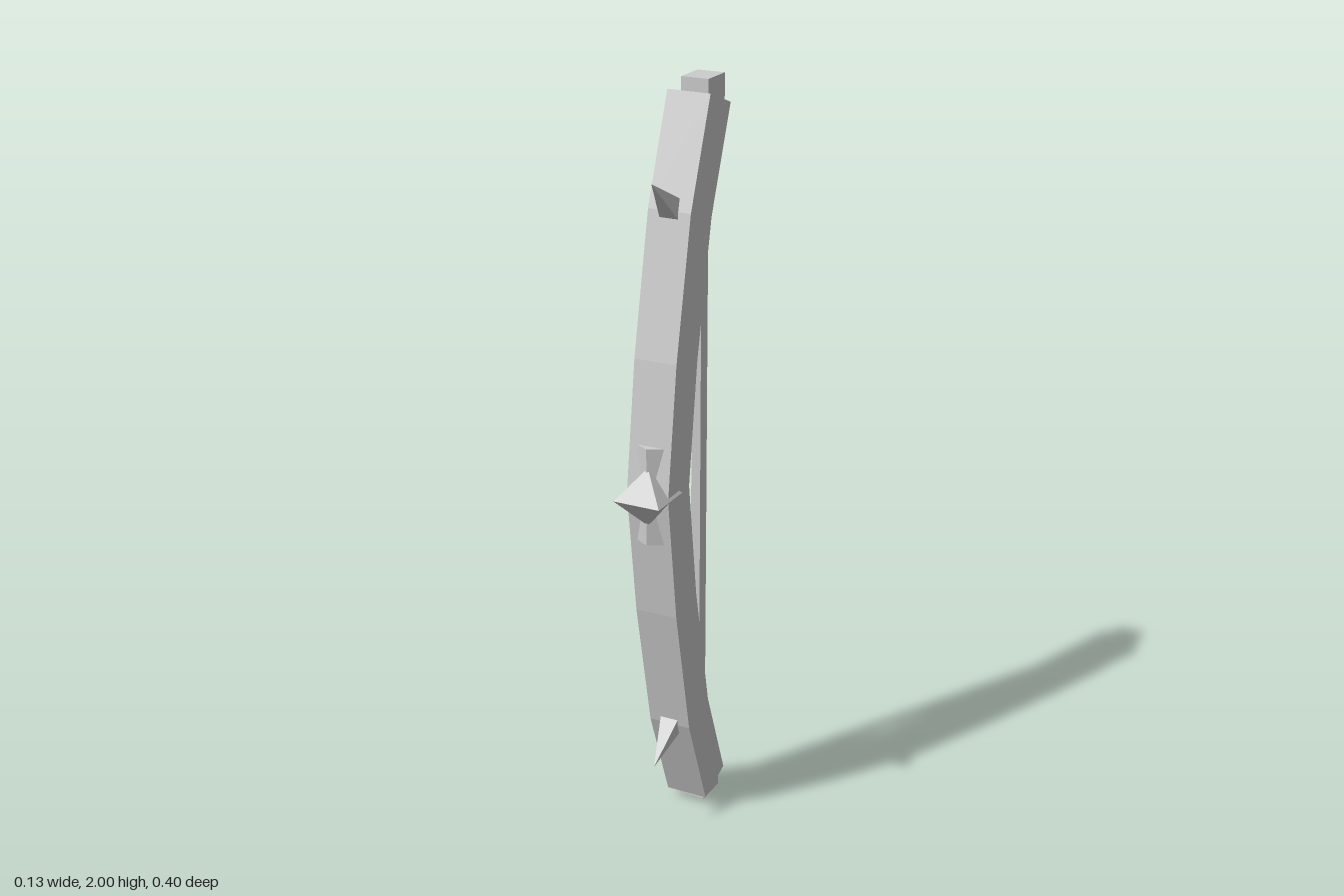
import * as THREE from 'three';

export function createModel() {
  const group = new THREE.Group();
  group.name = 'bow';
  const grey = new THREE.MeshStandardMaterial({ color: 0xcccccc, flatShading: true });
  grey.name = 'pale grey';

  const add = (name, geometry, x, y, z) => {
    const mesh = new THREE.Mesh(geometry, grey);
    mesh.name = name;
    mesh.position.set(x, y, z);
    group.add(mesh);
    return mesh;
  };

  // Curved stave: half profile as [z, height above the middle], mirrored downwards
  const front = [[0.14, 0], [0.095, 0.343], [0.02, 0.703], [-0.082, 0.973]];
  const back = [[0.025, 0], [-0.018, 0.32], [-0.092, 0.668], [-0.193, 0.932]];
  const mirrorDown = (side) => [
    ...side.slice(1).reverse().map(([z, h]) => [z, -h]),
    ...side,
  ];
  const outline = [...mirrorDown(front), ...mirrorDown(back).reverse()];
  const shape = new THREE.Shape(outline.map(([z, h]) => new THREE.Vector2(z, h)));
  const width = 0.116;
  const stave = new THREE.ExtrudeGeometry(shape, { depth: width, bevelEnabled: false });
  stave.translate(0, 0, -width / 2);
  stave.rotateY(-Math.PI / 2);
  add('stave', stave, 0, 1, 0);

  // Bowstring
  add('string', new THREE.BoxGeometry(0.026, 1.84, 0.037), 0, 1, -0.147);

  // Six-sided grip core, its edges just breaking through the stave
  add('gripCore', new THREE.CylinderGeometry(0.061, 0.061, 0.26, 6), 0, 1, 0.084);

  // Square pyramid with its sides square to the axes
  const pyramid = (halfWidth, height) =>
    new THREE.ConeGeometry(halfWidth * Math.SQRT2, height, 4).rotateY(Math.PI / 4);

  for (const s of [1, -1]) {
    const end = s > 0 ? 'upper' : 'lower';

    // Blocks holding the string ends
    add(end + 'TipBlock', new THREE.BoxGeometry(0.074, 0.09, 0.09), 0, 1 + s * 0.955, -0.158);

    // Half of the faceted centre stud
    const stud = add(end + 'CentreStud', pyramid(0.0635, 0.078), 0, 1 + s * 0.039, 0.137);
    if (s < 0) stud.rotation.x = Math.PI;

    // Slanted spike on the limb
    const tip = new THREE.Vector3(0, s * 0.79, 0.112);
    const base = new THREE.Vector3(0, s * 0.69, -0.012);
    const axis = tip.clone().sub(base);
    const spike = add(end + 'Spike', pyramid(0.03, axis.length()), 0, 0, 0);
    spike.position.copy(tip).add(base).multiplyScalar(0.5);
    spike.position.y += 1;
    spike.quaternion.setFromUnitVectors(new THREE.Vector3(0, 1, 0), axis.normalize());
  }

  return group;
}
